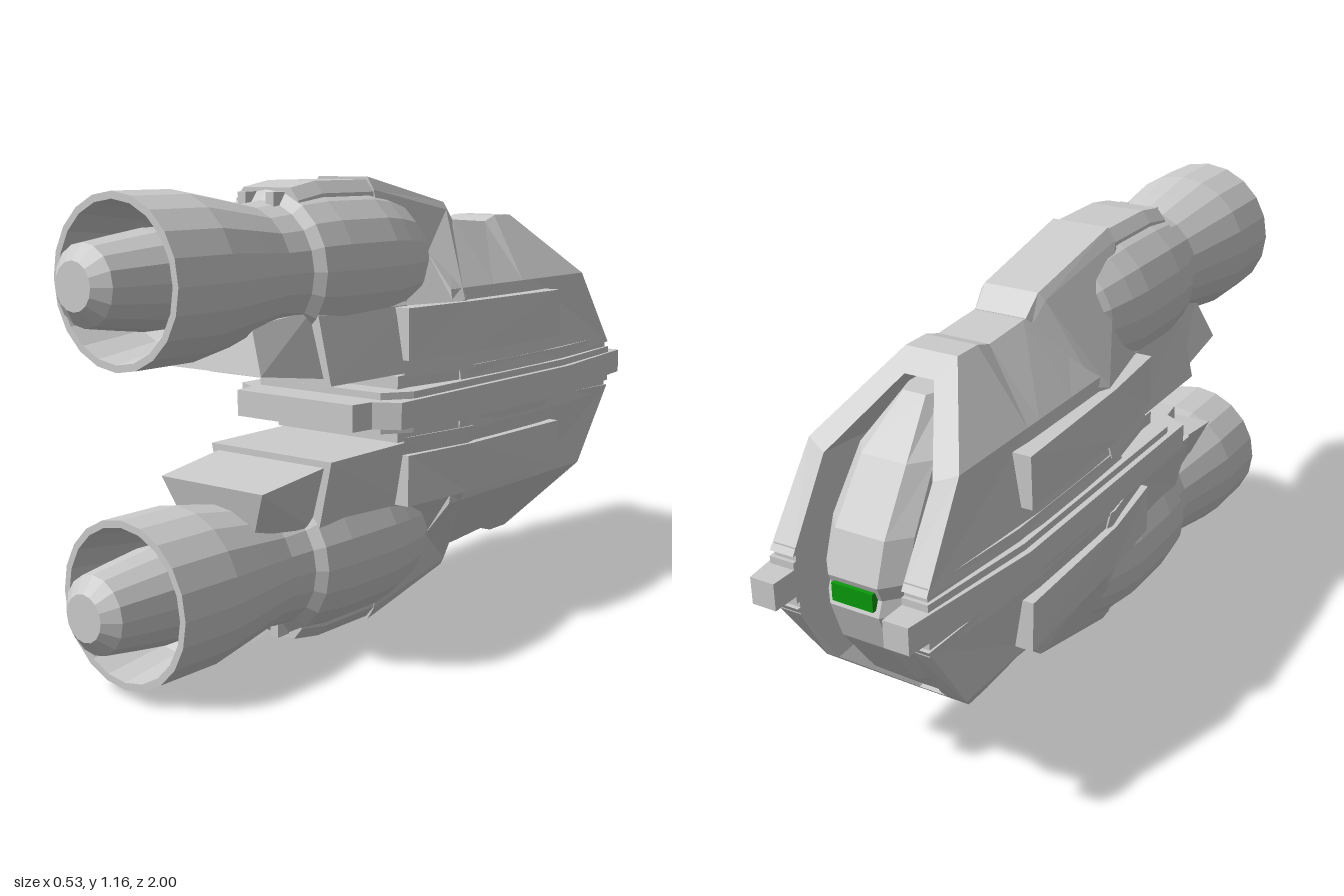
import * as THREE from 'three';

const MID = 0.583;       // height of the mirror plane
const ENGINE_Y = 0.945;  // axis of the upper engine
const grey = new THREE.MeshStandardMaterial({ color: 0xcccccc, flatShading: true });
const greyTwoSided = new THREE.MeshStandardMaterial({ color: 0xcccccc, flatShading: true, side: THREE.DoubleSide });
const green = new THREE.MeshStandardMaterial({ color: 0x0a9a0a, flatShading: true });

function add(parent, name, geometry, material = grey) {
  const mesh = new THREE.Mesh(geometry, material);
  mesh.name = name;
  parent.add(mesh);
  return mesh;
}

// Closed solid through rings of [x, y, z] corners, wound so that it faces outward.
function loft(rings) {
  const n = rings[0].length;
  const tris = [];
  for (let r = 0; r + 1 < rings.length; r++) {
    for (let i = 0; i < n; i++) {
      const j = (i + 1) % n;
      const [a, b, c, d] = [rings[r][i], rings[r][j], rings[r + 1][j], rings[r + 1][i]];
      tris.push([a, b, c], [a, c, d]);
    }
  }
  const first = rings[0], last = rings[rings.length - 1];
  for (let i = 1; i + 1 < n; i++) {
    tris.push([first[0], first[i + 1], first[i]], [last[0], last[i], last[i + 1]]);
  }
  const v = (p) => new THREE.Vector3(...p);
  const volume = tris.reduce((s, [a, b, c]) => s + v(a).dot(v(b).cross(v(c))), 0);
  if (volume < 0) tris.forEach((t) => t.reverse());
  const geometry = new THREE.BufferGeometry();
  geometry.setAttribute('position', new THREE.Float32BufferAttribute(tris.flat(2), 3));
  geometry.computeVertexNormals();
  return geometry;
}

// Full ring from its +x half.
const both = (half) => [...half, ...half.map(([x, y, z]) => [-x, y, z]).reverse()];
const flip = (ring) => ring.map(([x, y, z]) => [-x, y, z]);

// Horizontal plate from the +x half of its outline, given as [x, z].
function plate(half, y0, y1) {
  const outline = [...half, ...half.map(([x, z]) => [-x, z]).reverse()];
  const shape = new THREE.Shape(outline.map(([x, z]) => new THREE.Vector2(x, -z)));
  const geometry = new THREE.ExtrudeGeometry(shape, { depth: y1 - y0, bevelEnabled: false });
  return geometry.rotateX(-Math.PI / 2).translate(0, y0, 0);
}

// Turned part along z from [radius, z] points.
function turned(profile, sides) {
  const points = profile.map(([r, z]) => new THREE.Vector2(r, z));
  return new THREE.LatheGeometry(points, sides).rotateX(Math.PI / 2).translate(0, ENGINE_Y, 0);
}

function createEngine() {
  const engine = new THREE.Group();
  engine.name = 'engine';
  add(engine, 'engineShell', turned([
    [0, -0.1], [0.13, -0.1], [0.17, -0.03], [0.19, 0.05], [0.2, 0.12], [0.2, 0.3], [0.19, 0.39],
    [0.165, 0.41], [0.157, 0.48], [0.175, 0.58], [0.197, 0.71], [0.197, 0.885],
    [0.18, 0.885], [0.155, 0.72], [0.115, 0.66], [0, 0.66],
  ], 20), greyTwoSided);
  add(engine, 'engineSpike', turned([
    [0.115, 0.64], [0.115, 0.8], [0.104, 0.885], [0.092, 0.97], [0.055, 1], [0, 1],
  ], 16), greyTwoSided);

  // Cover on the outer side of the engine
  const cover = (z, top, wTop, wLow) => both([[wLow, 1.06, z], [wLow, top - 0.03, z], [wTop, top, z]]);
  add(engine, 'engineCover', loft([
    cover(0.39, 1.14, 0.075, 0.1), cover(0.3, 1.155, 0.075, 0.1), cover(0.08, 1.155, 0.075, 0.1),
  ]));
  for (const s of [-1, 1]) {
    add(engine, 'coverTab', new THREE.BoxGeometry(0.025, 0.04, 0.06)).position.set(s * 0.045, 1.11, 0.4);
  }

  // Strut on the inner side of the engine
  add(engine, 'strut', loft([
    both([[0.198, 0.675, 0.39], [0.16, 0.84, 0.39], [0.12, 0.9, 0.39]]),
    both([[0.2, 0.672, 0.05], [0.17, 0.84, 0.05], [0.12, 0.9, 0.05]]),
  ]));
  add(engine, 'strutNose', loft([
    both([[0.165, 0.72, 0.6], [0.115, 0.83, 0.575]]),
    both([[0.175, 0.69, 0.38], [0.13, 0.85, 0.38]]),
  ]));
  return engine;
}

function createHalf() {
  const half = new THREE.Group();
  half.name = 'hullHalf';

  // Main body, then the raised block that carries the engine
  const body = (z, b, top) => both([[b, 0.63, z], [0.2, 0.87, z], [0.07, top, z]]);
  add(half, 'mainHull', loft([
    body(-0.1, 0.235, 1.03), body(-0.3, 0.24, 1.04), body(-0.45, 0.24, 1.03), body(-0.5, 0.24, 1.045),
  ]));
  add(half, 'engineBlock', loft([
    both([[0.2, 0.66, 0.1], [0.175, 0.8, 0.1], [0.1, 1.13, 0.1], [0.08, 1.162, 0.1]]),
    both([[0.24, 0.66, -0.14], [0.218, 0.84, -0.14], [0.09, 1.07, -0.232], [0.075, 1.09, -0.24]]),
    both([[0.238, 0.66, -0.16], [0.2, 0.85, -0.18], [0.08, 1.02, -0.28], [0.07, 1.04, -0.29]]),
  ]));

  // Rim around the cockpit recess: outer lip, inner lip, inner root, outer root
  const rim = [
    [[0, 1.045, -0.58], [0, 1.0, -0.63], [0, 0.98, -0.5], [0, 1.045, -0.5]],
    [[0.07, 1.045, -0.58], [0.04, 1.0, -0.63], [0.04, 0.98, -0.5], [0.07, 1.045, -0.5]],
    [[0.2, 0.87, -0.78], [0.145, 0.85, -0.8], [0.145, 0.83, -0.5], [0.2, 0.87, -0.5]],
    [[0.21, 0.65, -0.93], [0.145, 0.65, -0.93], [0.145, 0.63, -0.5], [0.24, 0.63, -0.5]],
  ];
  add(half, 'leftRim', loft(rim));
  add(half, 'rightRim', loft(rim.map(flip)));

  // Cockpit canopy
  const pane = (y, z, w) => both([[w, y, -0.49], [w, y, z + 0.05], [w * 0.6, y, z]]);
  add(half, 'canopy', loft([
    pane(MID, -0.895, 0.11), pane(0.62, -0.91, 0.11), pane(0.72, -0.875, 0.11),
    pane(0.86, -0.775, 0.1), pane(0.97, -0.65, 0.05),
  ]));

  // Raised side panels
  const panel = [
    [[0.15, 0.705, 0.1], [0.212, 0.705, 0.1], [0.212, 0.838, 0.1], [0.15, 0.838, 0.1]],
    [[0.15, 0.705, -0.14], [0.245, 0.705, -0.14], [0.235, 0.838, -0.14], [0.15, 0.838, -0.14]],
    [[0.15, 0.705, -0.57], [0.253, 0.705, -0.57], [0.25, 0.838, -0.57], [0.15, 0.838, -0.57]],
  ];
  add(half, 'leftPanel', loft(panel));
  add(half, 'rightPanel', loft(panel.map(flip)));

  half.add(createEngine());
  return half;
}

export function createModel() {
  const model = new THREE.Group();
  model.name = 'spacecraft';

  // Upper half and its mirror image below
  const upper = createHalf();
  const lower = createHalf();
  lower.scale.y = -1;
  lower.position.y = 2 * MID;
  model.add(upper, lower);

  // Middle plates: inner core, step and wide edge with two rear prongs
  add(model, 'core', plate([
    [0.2, 0.13], [0.2, 0.08], [0.235, -0.14], [0.235, -0.6], [0.205, -0.92], [0.145, -0.92], [0.145, -0.5],
  ], MID - 0.085, MID + 0.085));
  add(model, 'edgeStep', plate([
    [0.2, 0.2], [0.25, 0.13], [0.25, -0.6], [0.212, -0.93], [0.145, -0.93], [0.145, -0.5],
  ], MID - 0.052, MID + 0.052));
  add(model, 'edgePlate', plate([
    [0.19, 0.3], [0.2, 0.235], [0.265, 0.2], [0.265, -0.6], [0.21, -1], [0.145, -1], [0.145, -0.81],
  ], MID - 0.034, MID + 0.034));

  // Light strip between the canopies
  add(model, 'lightStrip', new THREE.BoxGeometry(0.11, 0.045, 0.06)).position.set(0, MID, -0.885);
  model.getObjectByName('lightStrip').material = green;
  return model;
}
